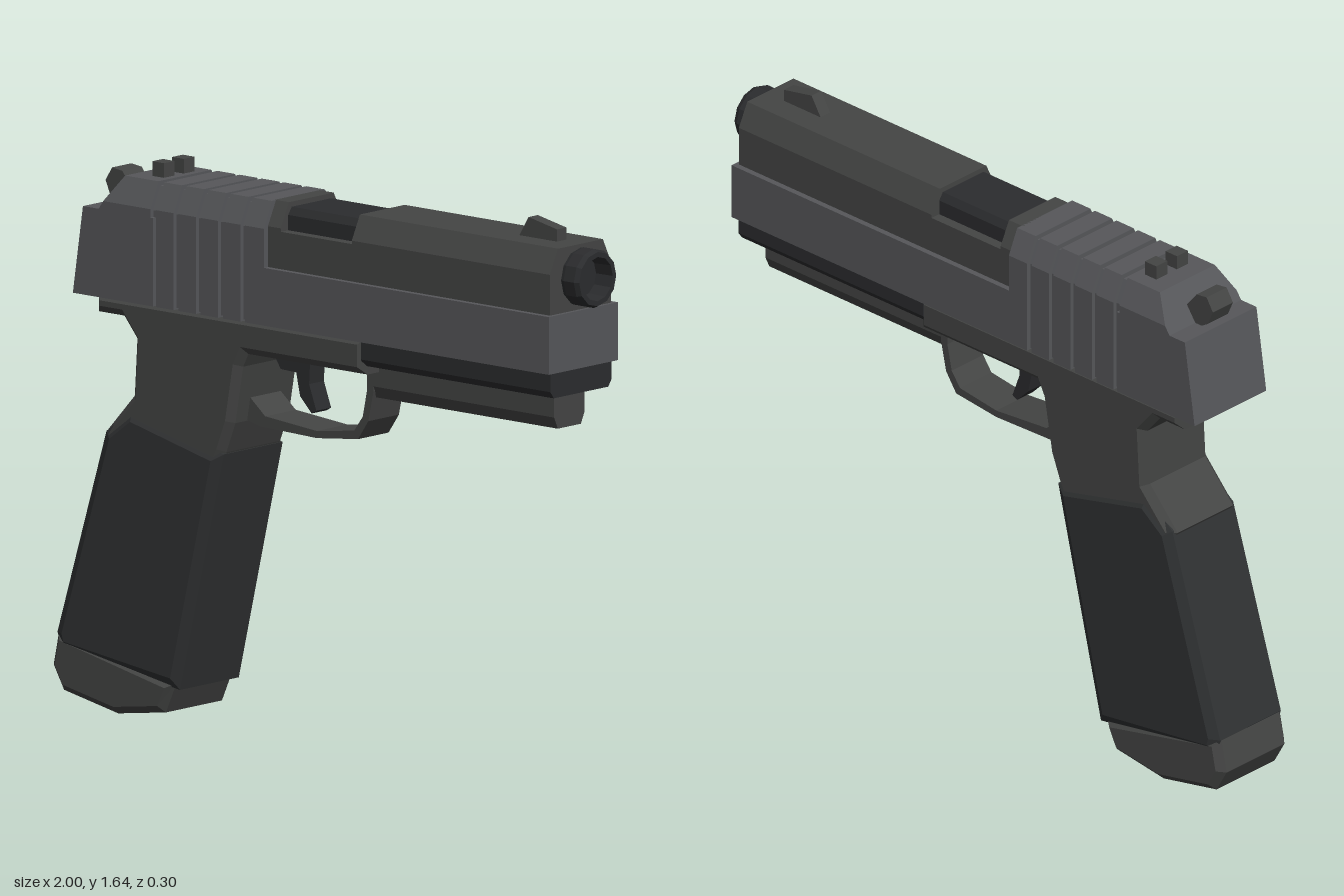
import * as THREE from 'three';

const mat = (color) => new THREE.MeshStandardMaterial({ color, flatShading: true });
const slideMat = mat(0x56575a), frameMat = mat(0x444544), gripMat = mat(0x303233), darkMat = mat(0x2b2c2e);

export function createModel() {
  const model = new THREE.Group();
  const add = (name, geometry, material) => {
    const mesh = new THREE.Mesh(geometry, material);
    mesh.name = name;
    model.add(mesh);
    return mesh;
  };
  const shapeOf = (pts) => new THREE.Shape(pts.map(([a, b]) => new THREE.Vector2(a, b)));

  // Side outline (x, y) given a width across z, with optional chamfered rims
  const plate = (name, pts, half, material, chamfer = 0, depth = chamfer) => {
    const g = new THREE.ExtrudeGeometry(shapeOf(pts), {
      depth: 2 * (half - depth), bevelEnabled: chamfer > 0, bevelSegments: 1,
      bevelSize: chamfer, bevelThickness: depth, bevelOffset: -chamfer,
    });
    return add(name, g.translate(0, 0, depth - half), material);
  };

  // Mirrored cross-section (z, y) run along x; the rear end may lean by y
  const bar = (name, right, x0, x1, material, lean = 0) => {
    const pts = [...right, ...right.map(([z, y]) => [-z, y]).reverse()];
    const g = new THREE.ExtrudeGeometry(shapeOf(pts), { depth: x1 - x0, bevelEnabled: false });
    g.rotateY(Math.PI / 2).translate(x0, 0, 0);
    const p = g.attributes.position;
    for (let i = 0; i < p.count; i++) {
      if (p.getX(i) < x0 + 0.001) p.setX(i, x0 + lean * (p.getY(i) - right[0][1]));
    }
    g.computeVertexNormals();
    return add(name, g, material);
  };

  // Slide: lower rail, rear block with leaning tail
  bar('slideLower', [[0.15, 1.23], [0.15, 1.4]], -0.165, 0.945, slideMat);
  bar('slideTail', [[0.15, 1.23], [0.15, 1.49]], -0.9, -0.59, slideMat, 0.15);
  bar('slideTailTop', [[0.15, 1.49], [0.15, 1.515], [0.115, 1.592]], -0.8, -0.6, slideMat, 0.7);

  // Grip serrations: ribs standing on a slightly smaller core
  const full = [[0.15, 1.23], [0.15, 1.515], [0.115, 1.592]];
  bar('serrationCore', [[0.137, 1.235], [0.137, 1.51], [0.107, 1.578]], -0.62, -0.17, slideMat);
  for (let i = 0; i < 5; i++) {
    const x = -0.577 + i * 0.086;
    bar('slideRib', full, x, x + 0.068, slideMat);
  }
  bar('slideRibFront', full, -0.19, -0.16, slideMat);

  // Upper slide, cut open at the ejection port
  const upper = [[0.132, 1.39], [0.132, 1.52], [0.097, 1.592]];
  bar('slideUpperRear', upper, -0.165, -0.11, frameMat);
  bar('slidePortFloor', [[0.132, 1.39], [0.132, 1.51]], -0.11, 0.165, frameMat);
  bar('slideUpperFront', upper, 0.165, 0.933, frameMat);
  bar('chamber', [[0.1, 1.48], [0.1, 1.555], [0.085, 1.577]], -0.115, 0.17, darkMat);

  // Hollow muzzle
  const muzzle = new THREE.LatheGeometry([
    [0.001, 0.925], [0.082, 0.925], [0.087, 0.945], [0.087, 0.985], [0.08, 1.0],
    [0.065, 1.0], [0.062, 0.938], [0.001, 0.938],
  ].map(([r, h]) => new THREE.Vector2(r, h)), 12);
  muzzle.rotateZ(-Math.PI / 2).translate(0, 1.497, 0);
  add('muzzle', muzzle, darkMat);

  // Sights and hammer
  plate('frontSight', [[0.71, 1.585], [0.86, 1.585], [0.86, 1.628], [0.75, 1.65]], 0.02, frameMat);
  for (const side of [-1, 1]) {
    const sight = add('rearSight', new THREE.BoxGeometry(0.045, 0.05, 0.046), frameMat);
    sight.position.set(-0.645, 1.61, side * 0.043);
  }
  plate('hammer', [[-0.87, 1.55], [-0.85, 1.505], [-0.81, 1.48], [-0.73, 1.48], [-0.73, 1.53],
    [-0.76, 1.53], [-0.805, 1.585], [-0.845, 1.59]], 0.042, frameMat);

  // Frame with the grip neck
  plate('frame', [[-0.83, 1.24], [-0.83, 1.18], [-0.73, 1.18], [-0.68, 1.12], [-0.69, 0.95],
    [-0.8, 0.83], [-0.77, 0.78], [-0.36, 0.78], [-0.335, 0.83], [-0.3, 0.92], [-0.27, 1.09],
    [-0.25, 1.13], [0.212, 1.13], [0.212, 1.24]], 0.138, frameMat, 0.022);
  bar('dustCover', [[0.118, 1.155], [0.132, 1.175], [0.132, 1.235]], 0.2, 0.935, darkMat);
  bar('accessoryRail', [[0.05, 1.05], [0.066, 1.085], [0.066, 1.16]], 0.18, 0.89, frameMat);

  // Grip and magazine base
  plate('grip', [[-0.79, 0.835], [-0.98, 0.22], [-0.965, 0.17], [-0.505, 0.11], [-0.335, 0.825],
    [-0.69, 0.91]], 0.145, gripMat, 0.03, 0.018);
  plate('magazineBase', [[-0.978, 0.225], [-1, 0.12], [-0.96, 0.05], [-0.75, 0.008], [-0.565, 0.035],
    [-0.525, 0.125]], 0.143, frameMat, 0.022);

  // Trigger guard: closed band between outer and inner outline
  const outer = [[-0.31, 0.925], [-0.25, 0.91], [-0.03, 0.904], [0.13, 0.922], [0.17, 0.98], [0.19, 1.07], [0.19, 1.14]];
  const inner = [[0.165, 1.14], [0.165, 1.07], [0.148, 0.99], [0.115, 0.945], [-0.03, 0.925], [-0.23, 0.942], [-0.3, 1.0]];
  plate('triggerGuard', [...outer, ...inner], 0.066, frameMat);

  // Trigger
  plate('trigger', [[-0.24, 1.14], [-0.2, 1.08], [-0.14, 1.078], [-0.125, 1.01], [-0.08, 0.965],
    [-0.062, 0.975], [-0.09, 1.05], [-0.085, 1.14]], 0.032, darkMat);

  return model;
}
